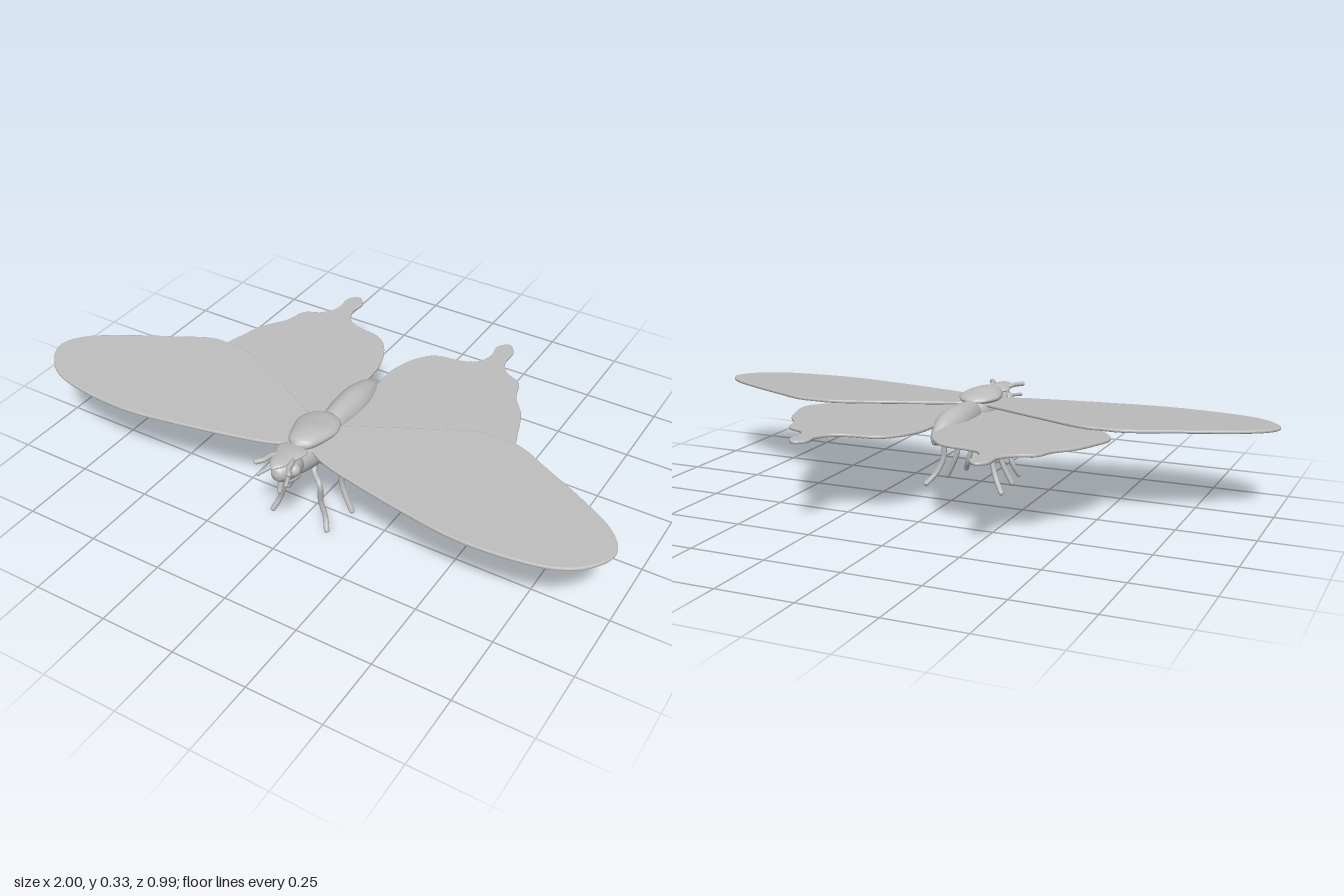
import * as THREE from 'three';

const grey = new THREE.MeshStandardMaterial({ color: 0xbebebe });
grey.name = 'plain grey';

function add(parent, name, geometry) {
  const mesh = new THREE.Mesh(geometry, grey);
  mesh.name = name;
  parent.add(mesh);
  return mesh;
}

// Smooth loft along z through elliptical sections [z, centreY, radiusX, radiusY], listed front to back
function loft(sections, sides = 24, steps = 36) {
  const path = new THREE.CatmullRomCurve3(sections.map(s => new THREE.Vector3(s[0], s[1], 0)));
  const size = new THREE.CatmullRomCurve3(sections.map(s => new THREE.Vector3(s[2], s[3], s[0])));
  const pos = [], idx = [];
  for (let i = 0; i <= steps; i++) {
    const p = path.getPoint(i / steps), r = size.getPoint(i / steps);
    for (let j = 0; j < sides; j++) {
      const a = j / sides * Math.PI * 2;
      pos.push(Math.cos(a) * Math.max(r.x, 0.0005), p.y + Math.sin(a) * Math.max(r.y, 0.0005), p.x);
      if (i < steps) {
        const k = (j + 1) % sides, b = i * sides, c = b + sides;
        idx.push(b + j, c + j, b + k, b + k, c + j, c + k);
      }
    }
  }
  const g = new THREE.BufferGeometry();
  g.setAttribute('position', new THREE.Float32BufferAttribute(pos, 3));
  g.setIndex(idx);
  g.computeVertexNormals();
  return g;
}

// Thin wing from a top outline [x, z], tilted so that y changes evenly with z
function wing(outline, side, height, slope) {
  const curve = new THREE.SplineCurve(outline.map(p => new THREE.Vector2(p[0] * side, p[1])));
  const shape = new THREE.Shape(curve.getPoints(110));
  const g = new THREE.ExtrudeGeometry(shape, {
    depth: 0.003, bevelEnabled: true, bevelThickness: 0.004, bevelSize: 0.004, bevelOffset: -0.004, bevelSegments: 2,
  });
  g.rotateX(Math.PI / 2);
  const p = g.attributes.position;
  for (let i = 0; i < p.count; i++) p.setY(i, p.getY(i) + height + slope * p.getZ(i));
  g.computeVertexNormals();
  return g;
}

// Round tube with a ball on its far end
function limb(parent, name, points, side, radius) {
  const v = points.map(p => new THREE.Vector3(p[0] * side, p[1], p[2]));
  const group = new THREE.Group();
  group.name = name;
  add(group, name + 'Shaft', new THREE.TubeGeometry(new THREE.CatmullRomCurve3(v), 28, radius, 10));
  add(group, name + 'Tip', new THREE.SphereGeometry(radius, 10, 8)).position.copy(v[v.length - 1]);
  parent.add(group);
}

const foreOutline = [
  [0.02, 0.2], [0.06, 0.18], [0.25, 0.085], [0.42, 0.005], [0.5, -0.004], [0.58, 0.002], [0.68, 0.05],
  [0.82, 0.12], [0.95, 0.2], [0.998, 0.28], [0.96, 0.36], [0.88, 0.415], [0.75, 0.443], [0.58, 0.45],
  [0.4, 0.425], [0.22, 0.39], [0.1, 0.36], [0.02, 0.32],
];
const hindOutline = [
  [0.01, 0.3], [0.02, 0.05], [0.02, -0.13], [0.03, -0.2], [0.06, -0.27], [0.11, -0.32], [0.2, -0.337], [0.245, -0.36],
  [0.268, -0.41], [0.263, -0.465], [0.295, -0.498], [0.326, -0.465], [0.327, -0.4], [0.36, -0.35], [0.415, -0.32],
  [0.44, -0.25], [0.49, -0.18], [0.52, -0.1], [0.54, -0.02], [0.51, 0.05], [0.43, 0.14], [0.32, 0.22], [0.2, 0.3], [0.08, 0.31],
];
const legs = {
  frontLeg: [[0.02, 0.215, 0.285], [0.035, 0.188, 0.312], [0.07, 0.168, 0.338], [0.07, 0.1, 0.333], [0.085, 0.045, 0.333], [0.1, 0.009, 0.35]],
  middleLeg: [[0.02, 0.215, 0.275], [0.04, 0.188, 0.258], [0.075, 0.168, 0.233], [0.08, 0.1, 0.227], [0.1, 0.05, 0.23], [0.12, 0.012, 0.234]],
  hindLeg: [[0.02, 0.22, 0.235], [0.04, 0.19, 0.212], [0.065, 0.172, 0.182], [0.085, 0.163, 0.14], [0.09, 0.1, 0.134], [0.11, 0.05, 0.12], [0.137, 0.016, 0.096]],
};

export function createModel() {
  const model = new THREE.Group();
  model.name = 'butterfly';

  // Body
  add(model, 'abdomen', loft([[0.2, 0.25, 0.02, 0.03], [0.17, 0.252, 0.036, 0.047], [0.08, 0.255, 0.05, 0.054],
    [0, 0.255, 0.05, 0.052], [-0.07, 0.248, 0.036, 0.042], [-0.12, 0.238, 0.018, 0.023], [-0.138, 0.235, 0.008, 0.012], [-0.142, 0.235, 0, 0]]));
  add(model, 'thorax', loft([[0.4, 0.25, 0.01, 0.02], [0.37, 0.25, 0.035, 0.045], [0.31, 0.252, 0.055, 0.057],
    [0.24, 0.255, 0.062, 0.06], [0.18, 0.26, 0.048, 0.05], [0.14, 0.262, 0.01, 0.02]]));
  add(model, 'backPlate', loft([[0.36, 0.3, 0.005, 0.004], [0.34, 0.302, 0.038, 0.02], [0.28, 0.302, 0.062, 0.026],
    [0.23, 0.302, 0.07, 0.02], [0.18, 0.3, 0.048, 0.014], [0.155, 0.297, 0.005, 0.004]]));
  add(model, 'head', loft([[0.472, 0.263, 0, 0], [0.465, 0.263, 0.018, 0.02], [0.43, 0.262, 0.036, 0.04],
    [0.39, 0.258, 0.04, 0.043], [0.35, 0.252, 0.03, 0.035]]));
  add(model, 'crest', loft([[0.485, 0.303, 0.003, 0.002], [0.46, 0.303, 0.024, 0.009], [0.42, 0.302, 0.036, 0.011],
    [0.38, 0.301, 0.048, 0.01], [0.36, 0.3, 0.045, 0.008], [0.34, 0.298, 0.005, 0.004]]));
  add(model, 'jaw', loft([[0.42, 0.215, 0, 0], [0.41, 0.211, 0.015, 0.014], [0.375, 0.211, 0.024, 0.018], [0.34, 0.22, 0.01, 0.01]]));
  limb(model, 'proboscis', [[0, 0.255, 0.455], [0, 0.243, 0.438], [0, 0.215, 0.443], [0, 0.194, 0.45]], 1, 0.009);

  for (const side of [1, -1]) {
    const tag = side > 0 ? 'left' : 'right';
    // Wings
    add(model, tag + 'ForeWing', wing(foreOutline, side, 0.294, -0.045));
    add(model, tag + 'HindWing', wing(hindOutline, side, 0.266, -0.035));
    // Legs
    for (const [name, points] of Object.entries(legs)) limb(model, tag + name[0].toUpperCase() + name.slice(1), points, side, 0.009);
    // Short feelers, palps and eyes
    limb(model, tag + 'Antenna', [[0.015, 0.295, 0.4], [0.035, 0.304, 0.43], [0.043, 0.304, 0.46], [0.058, 0.304, 0.482]], side, 0.008);
    limb(model, tag + 'Palp', [[0.02, 0.27, 0.42], [0.035, 0.268, 0.45], [0.05, 0.264, 0.487]], side, 0.006);
    const eye = add(model, tag + 'Eye', new THREE.SphereGeometry(0.022, 16, 12));
    eye.position.set(side * 0.028, 0.262, 0.412);
  }
  return model;
}
